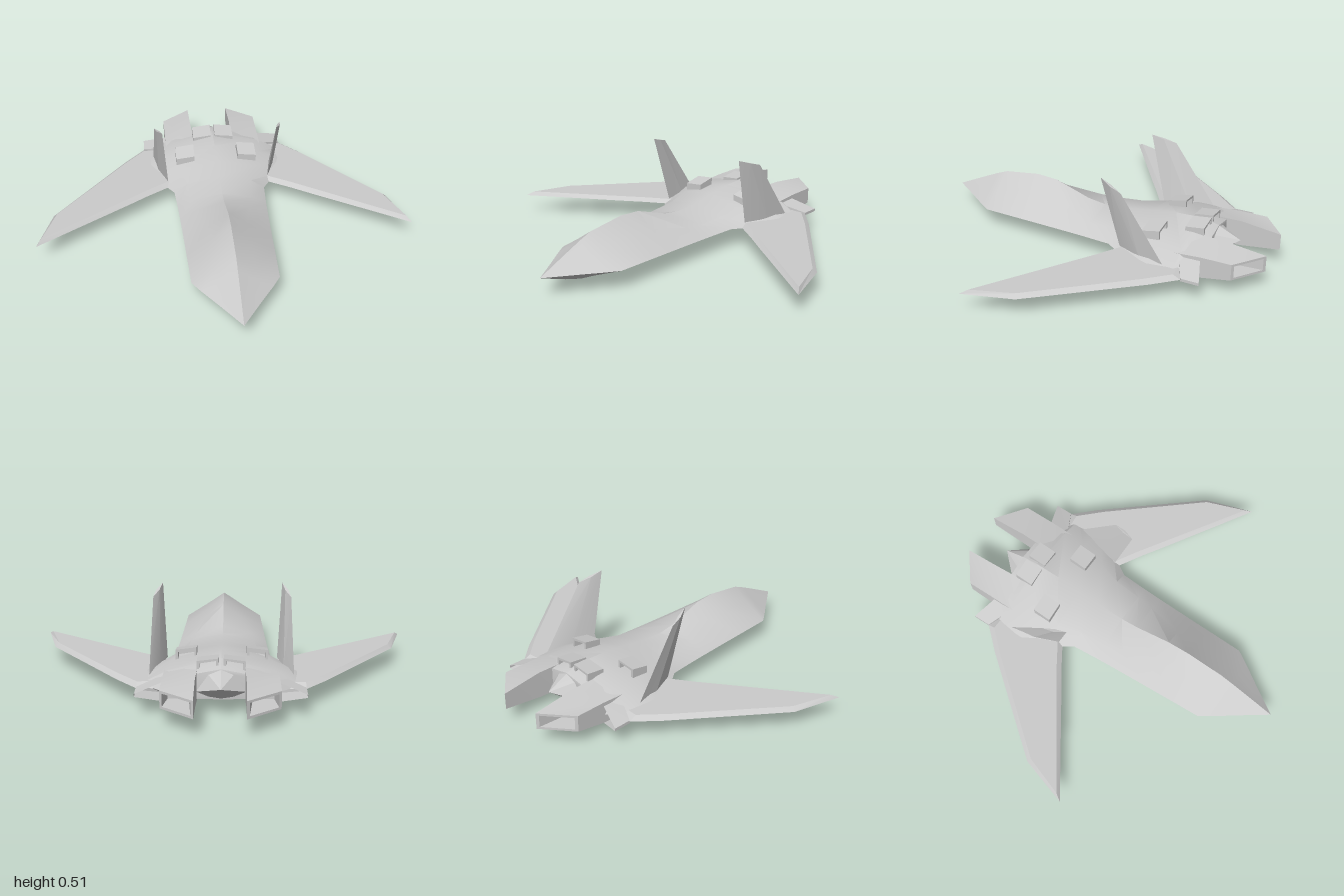
import * as THREE from 'three';
import { toCreasedNormals } from 'three/addons/utils/BufferGeometryUtils.js';

const material = new THREE.MeshStandardMaterial({ color: 0xcccccc, side: THREE.DoubleSide });

// Skin a list of point rings, each counter-clockwise about the direction of travel.
function loft(rings, { capStart = true, capEnd = true, crease = 0.5 } = {}) {
  const n = rings[0].length, index = [];
  for (let i = 0; i < rings.length - 1; i++) {
    for (let j = 0; j < n; j++) {
      const a = i * n + j, b = i * n + (j + 1) % n;
      index.push(a, b, b + n, a, b + n, a + n);
    }
  }
  const last = (rings.length - 1) * n;
  for (let j = 1; j < n - 1; j++) {
    if (capStart) index.push(0, j + 1, j);
    if (capEnd) index.push(last, last + j, last + j + 1);
  }
  const geometry = new THREE.BufferGeometry();
  geometry.setAttribute('position', new THREE.Float32BufferAttribute(rings.flat(2), 3));
  geometry.setIndex(index);
  return toCreasedNormals(geometry, crease);
}

const mirror = (rings) => rings.map((r) => r.map(([x, y, z]) => [-x, y, z]).reverse());

// Four-cornered ring facing +z; top, bottom and depth may differ between the two sides.
const rect = (x0, x1, [b0, b1], [t0, t1], [z0, z1]) =>
  [[x0, b0, z0], [x1, b1, z1], [x1, t1, z1], [x0, t0, z0]];

export function createModel() {
  const model = new THREE.Group();
  const add = (name, rings, options) => {
    const mesh = new THREE.Mesh(loft(rings, options), material);
    mesh.name = name;
    model.add(mesh);
  };
  const addPair = (name, rings, options) => {
    add('left' + name, rings, options);
    add('right' + name, mirror(rings), options);
  };

  // Fuselage: z, edge x, ridge y, shoulder x/y, lower x/y, keel y
  const E = 0.115;
  const stations = [
    [-0.78, 0, 0.17, 0, 0.17, 0, 0.17, 0.17],
    [-0.661, 0.12, 0.225, 0.06, 0.2, 0.06, 0.09, 0.08],
    [-0.66, 0.28, 0.228, 0.22, 0.185, 0.2, 0.08, 0.075],
    [-0.56, 0.4, 0.25, 0.26, 0.185, 0.24, 0.075, 0.06],
    [-0.42, 0.42, 0.245, 0.25, 0.19, 0.22, 0.075, 0.035],
    [-0.28, 0.34, 0.225, 0.22, 0.183, 0.2, 0.07, 0.003],
    [-0.15, 0.255, 0.205, 0.18, 0.17, 0.13, 0.065, 0.02],
    [0, 0.245, 0.195, 0.17, 0.16, 0.12, 0.067, 0.02],
    [0.1, 0.24, 0.21, 0.15, 0.167, 0.12, 0.067, 0.02],
    [0.3, 0.232, 0.278, 0.1, 0.205, 0.115, 0.067, 0.02],
    [0.42, 0.228, 0.287, 0.1, 0.21, 0.115, 0.067, 0.02],
    [0.63, 0.22, 0.26, 0.095, 0.195, 0.11, 0.067, 0.02],
    [0.7, 0.175, 0.232, 0.07, 0.18, 0.087, 0.07, 0.028],
    [0.8, 0.105, 0.187, 0.045, 0.155, 0.052, 0.085, 0.058],
    [0.955, 0, E, 0, E, 0, E, E],
  ];
  add('fuselage', stations.map(([z, ex, ty, sx, sy, lx, ly, ky]) => {
    const e = ex === 0 ? ty : E;
    return [[0, ky, z], [lx, ly, z], [ex, e, z], [sx, sy, z],
      [0, ty, z], [-sx, sy, z], [-ex, e, z], [-lx, ly, z]];
  }), { crease: 0.45 });

  // Forward-swept wings: top rear, top front, leading edge, trailing edge
  const T = 0.135, B = 0.115;
  addPair('Wing', [
    [[0.25, T, -0.57], [0.25, T, -0.26], [0.25, B, -0.23], [0.25, B, -0.62]],
    [[0.41, T, -0.58], [0.41, T, -0.16], [0.41, B, -0.13], [0.41, B, -0.62]],
    [[0.52, T, -0.46], [0.52, T, -0.085], [0.52, B, -0.055], [0.52, B, -0.5]],
    [[0.9, T, 0.01], [0.975, T, 0.225], [1, B, 0.262], [0.92, B, 0]],
  ], { crease: 0.3 });

  // Forward-leaning tail fins, toed in at the front
  addPair('TailFin', [
    [[0.285, 0.14, -0.23], [0.335, 0.14, -0.36], [0.357, 0.14, -0.5], [0.312, 0.14, -0.37]],
    [[0.31, 0.517, -0.135], [0.34, 0.495, -0.2], [0.35, 0.475, -0.265], [0.323, 0.495, -0.2]],
  ], { crease: 0.2 });

  // Rectangular engine nozzles, cut at a slant and hollow at the back
  addPair('EngineNozzle', [
    rect(0.15, 0.25, [0.11, 0.11], [0.165, 0.165], [-0.74, -0.74]),
    rect(0.132, 0.268, [0.11, 0.11], [0.174, 0.174], [-0.945, -0.84]),
    rect(0.12, 0.28, [0.098, 0.098], [0.186, 0.186], [-0.955, -0.83]),
    rect(0.12, 0.28, [0.07, 0.07], [0.213, 0.185], [-0.74, -0.67]),
    rect(0.11, 0.28, [0.065, 0.065], [0.215, 0.175], [-0.52, -0.52]),
  ], { crease: 0.3 });

  // Small open wedge fairings outboard of the engines
  addPair('TailFairing', [
    rect(0.27, 0.41, [0.065, 0.107], [0.168, 0.122], [-0.665, -0.715]),
    rect(0.27, 0.41, [0.065, 0.107], [0.165, 0.122], [-0.55, -0.62]),
  ], { capStart: false });

  // Raised dorsal vents, open to the rear
  const vent = (name, x0, x1, z0, z1, top, front) => {
    const w = 0.012, drop = 0.013, base = top - 0.065;
    const ring = (inset, y, z) => rect(x0 + inset, x1 - inset,
      [base + inset, base - drop + inset], [y - inset, y - drop - inset], [z, z]);
    addPair(name, [
      ring(w, front, z1 - w), ring(w, top, z0), ring(0, top, z0), ring(0, front, z1),
    ], { crease: 0.2 });
  };
  vent('InnerVent', 0.012, 0.117, -0.622, -0.52, 0.268, 0.255);
  vent('OuterVent', 0.125, 0.23, -0.425, -0.325, 0.258, 0.238);

  return model;
}
